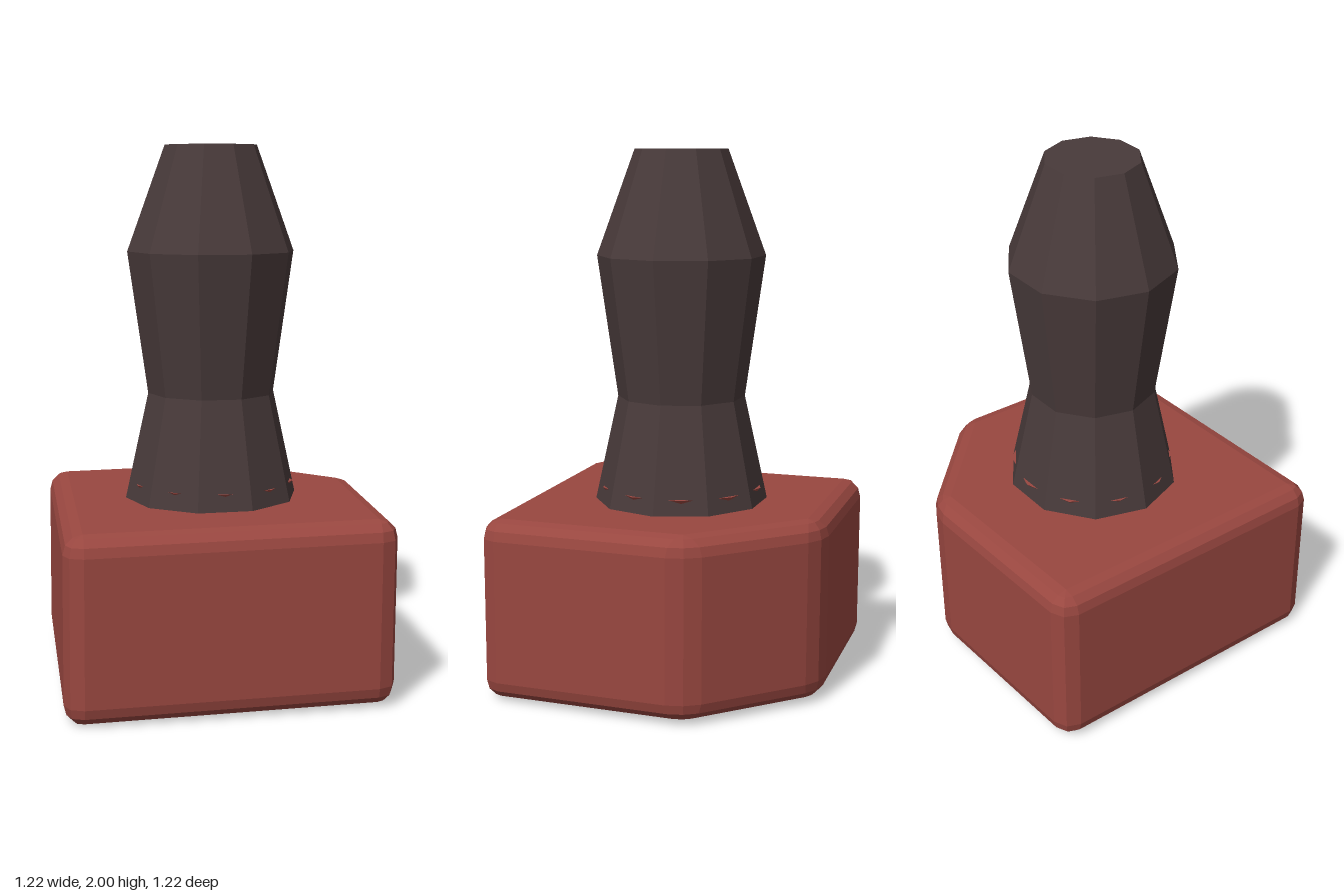
import * as THREE from 'three';
import { ConvexGeometry } from 'three/addons/geometries/ConvexGeometry.js';

const red = new THREE.MeshStandardMaterial({ color: 0x994740 });
red.name = 'brick red';
const dark = new THREE.MeshStandardMaterial({ color: 0x483a3a });
dark.name = 'dark brown';

function part(name, geometry, material) {
  const mesh = new THREE.Mesh(geometry, material);
  mesh.name = name;
  return mesh;
}

// Ten-sided faceted body of revolution from [radius, y] pairs, bottom to top
function faceted(profile, turn) {
  const points = profile.map(([r, y]) => new THREE.Vector2(r, y));
  const geometry = new THREE.LatheGeometry(points, 10).rotateY(turn).toNonIndexed();
  geometry.computeVertexNormals();
  return geometry;
}

// Square block with one corner cut off, all edges rounded, standing slightly askew
function blockGeometry() {
  const corners = [[-0.584, -0.586], [0.208, -0.613], [0.607, -0.213], [0.584, 0.584], [-0.611, 0.609]]
    .map(([x, z]) => new THREE.Vector2(x, z));
  const height = 0.675, bevel = 0.07, points = [];
  corners.forEach((corner, i) => {
    const toPrev = corners[(i + 4) % 5].clone().sub(corner).normalize();
    const toNext = corners[(i + 1) % 5].clone().sub(corner).normalize();
    const sine = Math.abs(toPrev.cross(toNext));
    // Centre of the rounding, one bevel width inside both edges
    const inner = corner.clone().addScaledVector(toPrev.clone().add(toNext), bevel / sine);
    const start = corner.clone().addScaledVector(toPrev, bevel);
    const end = corner.clone().addScaledVector(toNext, bevel);
    const middle = start.clone().add(end).multiplyScalar(0.3).addScaledVector(corner, 0.4);
    for (const outer of [start, middle, end]) {
      for (let k = 0; k <= 3; k++) {
        const angle = (k / 3) * Math.PI / 2;
        const p = inner.clone().lerp(outer, Math.cos(angle));
        const rise = bevel * (1 - Math.sin(angle));
        for (const y of [rise, height - rise]) {
          points.push(new THREE.Vector3(
            p.x + 0.008 * (y - 0.34),
            y + 0.008 + 0.007 * (p.x - p.y),
            p.y - 0.006 * (y - 0.34)));
        }
      }
    }
  });
  return new ConvexGeometry(points);
}

export function createModel() {
  const model = new THREE.Group();
  model.name = 'handStamp';
  model.add(part('block', blockGeometry(), red));

  // Collar whose corners just break through the flats of the handle
  const collar = part('collar', faceted([[0, 0.7], [0.27, 0.7], [0.311, 0.744], [0, 0.744]], 0), red);
  collar.position.set(0.002, 0, -0.003);
  model.add(collar);

  // Waisted grip with a tapered flat top
  model.add(part('handle', faceted(
    [[0, 0.67], [0.33, 0.67], [0.24, 1.08], [0.315, 1.61], [0.173, 2], [0, 2]], Math.PI / 10), dark));
  return model;
}
